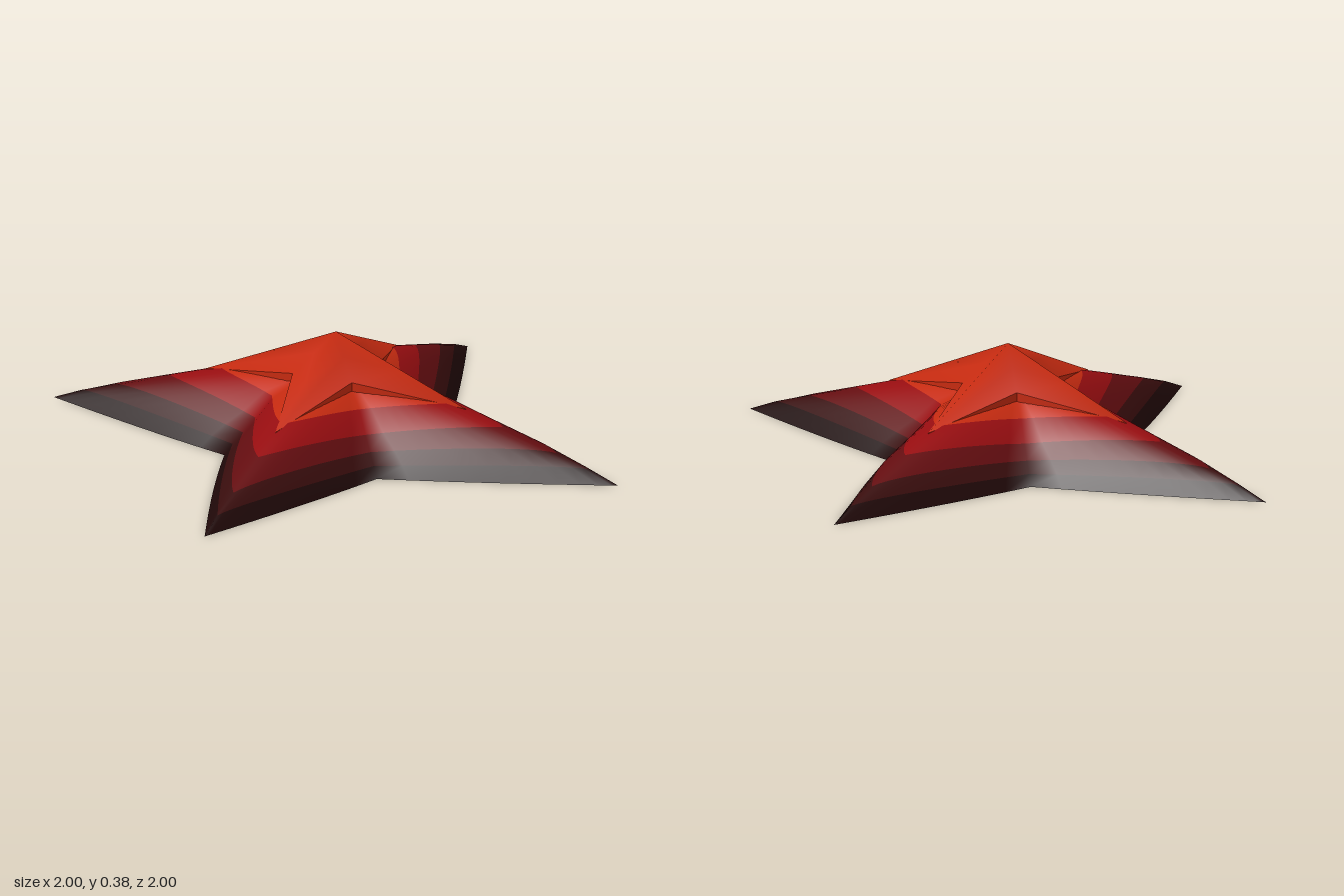
import * as THREE from 'three';

const paint = (name, color) => {
  const m = new THREE.MeshStandardMaterial({ color });
  m.name = name;
  return m;
};

// One contour of the four-armed star. a, ya: arm reach and height;
// v, yv: valley corner (x = z) and height; h: tip roundness; bump: lift between them.
function starRing({ a, ya, v, yv, h, bump }, steps = 10) {
  const curve = new THREE.CubicBezierCurve(
    new THREE.Vector2(a, 0),
    new THREE.Vector2(a - 0.04, h),
    new THREE.Vector2(v + 0.45 * (a - v), v * 0.62),
    new THREE.Vector2(v, v)
  );
  const arm = [];
  for (let i = 0; i <= steps; i++) {
    const t = i / steps;
    const p = curve.getPoint(t);
    arm.push([p.x, ya + (yv - ya) * t + bump * 4 * t * (1 - t), p.y]);
  }
  // half an arm, then its mirror image across the valley
  const quarter = arm.slice(0, steps);
  for (let i = steps; i > 0; i--) quarter.push([arm[i][2], arm[i][1], arm[i][0]]);
  return turnFourTimes(quarter);
}

function turnFourTimes(points) {
  const out = [];
  let pts = points;
  for (let q = 0; q < 4; q++) {
    out.push(...pts);
    pts = pts.map(([x, y, z]) => [-z, y, x]);
  }
  return out;
}

// Skin neighbouring rings, outermost first, with one material group per band
function loft(rings) {
  const n = rings[0].length;
  const index = [];
  const geo = new THREE.BufferGeometry();
  for (let r = 0; r < rings.length - 1; r++) {
    const start = index.length;
    for (let i = 0; i < n; i++) {
      const j = (i + 1) % n;
      const o = r * n, k = o + n;
      index.push(o + i, k + i, o + j, k + i, k + j, o + j);
    }
    geo.addGroup(start, index.length - start, r);
  }
  geo.setAttribute('position', new THREE.Float32BufferAttribute(rings.flat(2), 3));
  geo.setIndex(index);
  geo.computeVertexNormals();
  return geo;
}

export function createModel() {
  const group = new THREE.Group();
  group.name = 'starMound';

  const black = paint('charred red', 0x1f0808);
  const dark = paint('deep maroon', 0x390d0d);
  const maroon = paint('maroon', 0x630d10);
  const red = paint('crimson', 0x960d10);
  const orange = paint('orange red', 0xc42a10);
  const under = paint('underside black', 0x140505);

  const add = (name, geometry, material) => {
    const mesh = new THREE.Mesh(geometry, material);
    mesh.name = name;
    group.add(mesh);
  };

  // Banded body, from the ground edge up to the ledge below the cap
  const rings = [
    { a: 1.0, ya: 0, v: 0.27, yv: 0, h: 0.015, bump: 0 },
    { a: 0.9, ya: 0.04, v: 0.25, yv: 0.035, h: 0.02, bump: 0.012 },
    { a: 0.78, ya: 0.078, v: 0.225, yv: 0.07, h: 0.035, bump: 0.02 },
    { a: 0.59, ya: 0.138, v: 0.195, yv: 0.115, h: 0.05, bump: 0.015 },
    { a: 0.41, ya: 0.193, v: 0.155, yv: 0.183, h: 0.055, bump: 0.008 },
    { a: 0.2, ya: 0.22, v: 0.08, yv: 0.24, h: 0.04, bump: 0 },
  ].map((r) => starRing(r));
  add('body', loft(rings), [black, dark, maroon, red, orange]);

  // Flat underside
  const outline = new THREE.Shape(rings[0].map(([x, , z]) => new THREE.Vector2(x, z)));
  add('underside', new THREE.ShapeGeometry(outline).rotateX(Math.PI / 2), under);

  // Pointed star cap with soft ridges
  const rim = turnFourTimes([[0.46, 0.18, 0], [0.105, 0.25, 0.105]]);
  const mid = rim.map(([x, y, z]) => [x / 2, (y + 0.375) / 2, z / 2]);
  const apex = rim.map(() => [0, 0.375, 0]);
  const cap = loft([rim, mid, apex]);
  // repeated apex points share one upward normal
  for (let i = 16; i < 24; i++) cap.attributes.normal.setXYZ(i, 0, 1, 0);
  cap.clearGroups();
  add('cap', cap, orange);

  // Short wall where the cap meets the ledge
  const foot = rim.map(([x, y, z]) => [x, y - 0.035, z]);
  const wall = loft([foot, rim]).toNonIndexed();
  wall.computeVertexNormals();
  wall.clearGroups();
  add('capWall', wall, orange);

  return group;
}
